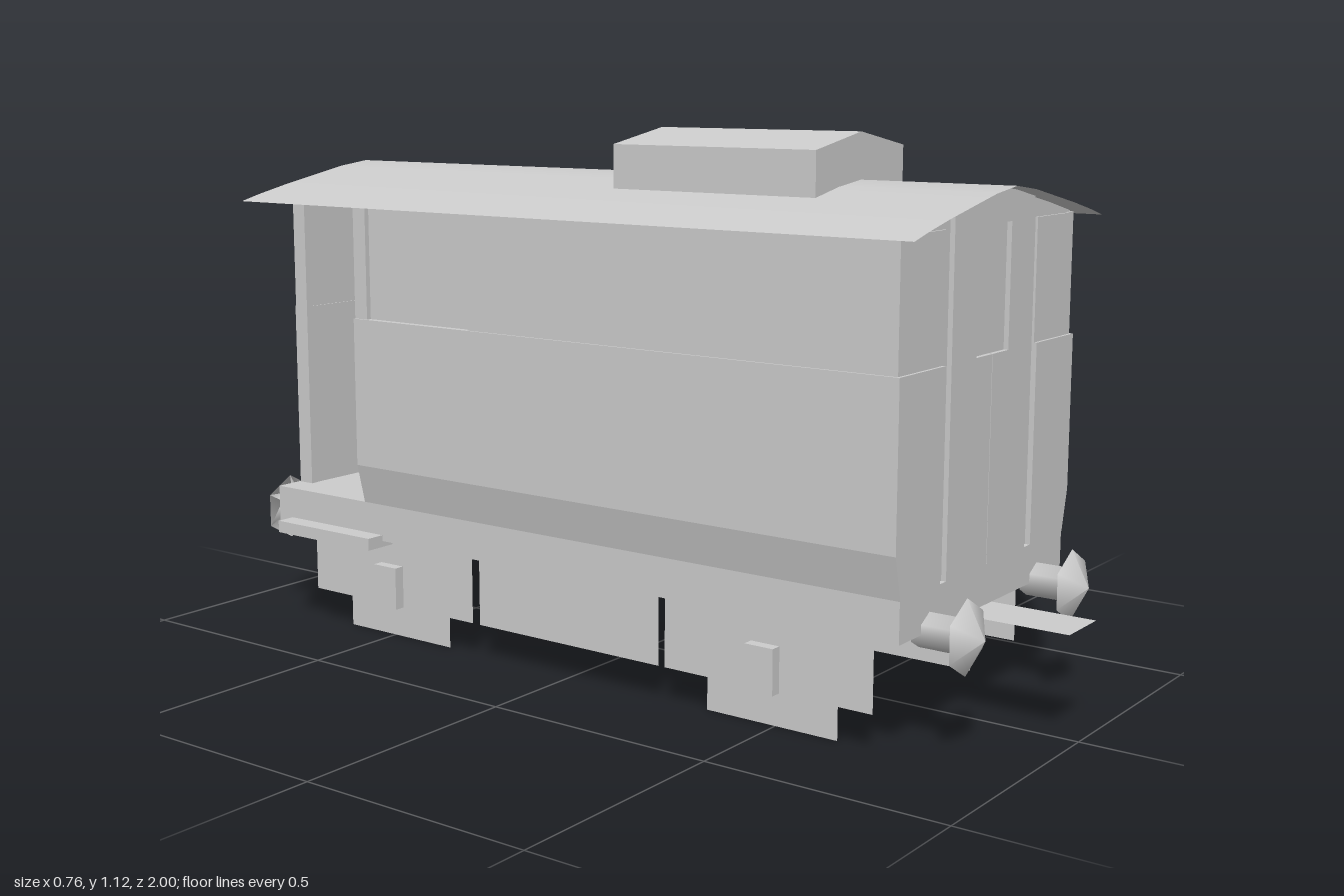
import * as THREE from 'three';

export function createModel() {
  const model = new THREE.Group();
  const solid = new THREE.MeshStandardMaterial({ color: 0xcccccc, flatShading: true });
  const sheet = new THREE.MeshStandardMaterial({ color: 0xcccccc, side: THREE.DoubleSide });
  const smooth = new THREE.MeshStandardMaterial({ color: 0xcccccc });

  function add(name, geometry, material = solid) {
    const mesh = new THREE.Mesh(geometry, material);
    mesh.name = name;
    model.add(mesh);
    return mesh;
  }
  // box from its limits on each axis
  function box(name, x0, x1, y0, y1, z0, z1) {
    const mesh = add(name, new THREE.BoxGeometry(Math.abs(x1 - x0), y1 - y0, z1 - z0));
    mesh.position.set((x0 + x1) / 2, (y0 + y1) / 2, (z0 + z1) / 2);
  }
  // closed x,y outline extruded between two z values, mirrored when side is -1
  function prism(name, points, z0, z1, side = 1) {
    const shape = new THREE.Shape(points.map(([x, y]) => new THREE.Vector2(side * x, y)));
    const mesh = add(name, new THREE.ExtrudeGeometry(shape, { depth: z1 - z0, bevelEnabled: false }));
    mesh.position.z = z0;
  }

  // arched roof line, from centre to eave
  const arch = [[0, 1.025], [0.08, 1.015], [0.165, 0.998], [0.25, 0.981], [0.33, 0.963], [0.38, 0.95]];
  const roofY = x => {
    x = Math.abs(x);
    const i = Math.max(1, arch.findIndex(p => p[0] >= x));
    const [a, b] = [arch[i - 1], arch[i]];
    return a[1] + (b[1] - a[1]) * (x - a[0]) / (b[0] - a[0]);
  };
  // top edge following the roof from x1 back to x0
  const underRoof = (x0, x1) => {
    const xs = [x0, x1];
    for (const [x] of arch) for (const s of [x, -x]) if (s > x0 && s < x1 && !xs.includes(s)) xs.push(s);
    return xs.sort((a, b) => b - a).map(x => [x, roofY(x) - 0.002]);
  };

  // thin arched roof
  const roof = new THREE.PlaneGeometry(0.76, 1.665, 10, 1).rotateX(-Math.PI / 2);
  const rp = roof.attributes.position;
  const line = [...arch.slice(1).reverse().map(([x, y]) => [-x, y]), ...arch];
  for (let i = 0; i < rp.count; i++) {
    const [x, y] = line[i % 11];
    rp.setXYZ(i, x, y, rp.getZ(i) + 0.0075);
  }
  roof.computeVertexNormals();
  add('roof', roof, sheet);

  // raised roof vent with a ridge
  prism('roofVent', [[-0.163, 0.99], [0.163, 0.99], [0.163, 1.087], [0, 1.117], [-0.163, 1.087]], 0.035, 0.51);

  // floor, open underneath between the frame beams
  box('floor', -0.33, 0.33, 0.295, 0.31, -0.79, 0.8);
  box('frontBeam', -0.33, 0.33, 0.23, 0.31, 0.775, 0.8);
  box('rearBeam', -0.33, 0.33, 0.23, 0.31, -0.79, -0.765);

  for (const s of [-1, 1]) {
    box('sideBeam', s * 0.31, s * 0.33, 0.23, 0.31, -0.79, 0.8);

    // side wall: tapered foot, straight waist, slightly inset top
    prism('lowerSideWall', [[0.31, 0.3], [0.33, 0.31], [0.35, 0.395], [0.35, 0.712], [0.325, 0.712], [0.325, 0.4]],
      -0.52, 0.8, s);
    box('upperSideWall', s * 0.325, s * 0.345, 0.71, 0.957, -0.2, 0.795);
    box('rearSidePost', s * 0.325, s * 0.345, 0.71, 0.957, -0.52, -0.485);
    box('sideWindow', s * 0.327, s * 0.334, 0.71, 0.957, -0.485, -0.2);

    // cabin rear wall on either side of the doorway
    prism('cabinRearWall', [[0.165, 0.31], [0.325, 0.31], [0.34, 0.395], ...underRoof(0.165, 0.34)], -0.515, -0.5, s);
    box('doorPost', s * 0.165, s * 0.183, 0.31, 0.985, -0.53, -0.5);

    // front panels beside the door
    prism('frontLowerPanel', [[0.185, 0.31], [0.33, 0.31], [0.35, 0.395], [0.35, 0.712], [0.185, 0.712]], 0.78, 0.801, s);
    box('frontUpperPanel', s * 0.185, s * 0.345, 0.71, 0.955, 0.78, 0.795);

    // door leaf with half of the window cut out
    prism('frontDoorLeaf', [[0.001, 0.31], [0.16, 0.31], [0.16, 0.955], [0.065, 0.955], [0.065, 0.712], [0.001, 0.712]],
      0.78, 0.8, s);

    // footboard beside the rear platform
    box('footboard', s * 0.3, s * 0.372, 0.217, 0.243, -0.75, -0.47);

    // posts at the edges of the rear end wall
    box('endWallPost', s * 0.25, s * 0.268, 0.31, 0.973, -0.785, -0.75);

    // thin upright plate facing sideways
    const plate = (name, x, z0, z1, y0, y1) => {
      const m = add(name, new THREE.PlaneGeometry(z1 - z0, y1 - y0).rotateY(s * Math.PI / 2), sheet);
      m.position.set(s * x, (y0 + y1) / 2, (z0 + z1) / 2);
    };
    plate('middleSkirt', 0.287, -0.23, 0.24, 0.075, 0.23);

    for (const e of [-1, 1]) {
      // guard outside, square wheel plate inside at the axle end
      const zc = e > 0 ? 0.49 : -0.485;
      plate('wheelGuard', 0.287, zc - 0.235, zc + 0.235, 0.075, 0.23);
      plate('wheelPlate', 0.265, zc - 0.148, zc + 0.148, 0, 0.295);
      box('axleBox', s * 0.285, s * 0.31, 0.075, 0.167, zc - 0.032, zc + 0.032);

      // six-sided buffer: round shaft and pointed head
      const buffer = new THREE.LatheGeometry(
        [[0.035, -0.015], [0.035, 0.075], [0.073, 0.08], [0, 0.118]].map(p => new THREE.Vector2(...p)), 6);
      const b = add('buffer', buffer, smooth);
      b.rotation.x = e * Math.PI / 2;
      b.position.set(s * 0.22, 0.232, e * 0.795);
    }
  }

  // front wall behind the panels, up to the roof
  prism('frontWall', [[-0.34, 0.395], [-0.325, 0.31], [0.325, 0.31], [0.34, 0.395], ...underRoof(-0.34, 0.34)], 0.765, 0.79);
  prism('frontDoorHead', [[-0.16, 0.955], [0.16, 0.955], ...underRoof(-0.16, 0.16)], 0.78, 0.8);

  // rear platform end wall: thick below the waist, thinner window panel, recessed gable
  box('endWallLower', -0.268, 0.268, 0.31, 0.712, -0.787, -0.752);
  box('endWallUpper', -0.262, 0.262, 0.71, 0.955, -0.78, -0.755);
  prism('endWallGable', [[-0.268, 0.95], [0.268, 0.95], ...underRoof(-0.268, 0.268)], -0.775, -0.76);

  for (const e of [-1, 1]) {
    // axle
    const axle = add('axle', new THREE.CylinderGeometry(0.013, 0.013, 0.53, 8).rotateZ(Math.PI / 2), smooth);
    axle.position.set(0, 0.152, e > 0 ? 0.49 : -0.485);
    // flat coupling plate
    const coupling = add('couplingPlate', new THREE.PlaneGeometry(0.118, 0.22).rotateX(-Math.PI / 2), sheet);
    coupling.position.set(0, 0.22, e * 0.89);
  }

  // brake rod under the floor
  box('brakeRod', 0.08, 0.098, 0.24, 0.255, -0.6, 0);
  const knob = add('brakeRodEnd', new THREE.CylinderGeometry(0.02, 0.02, 0.06, 8), smooth);
  knob.position.set(0.089, 0.265, -0.6);

  return model;
}
